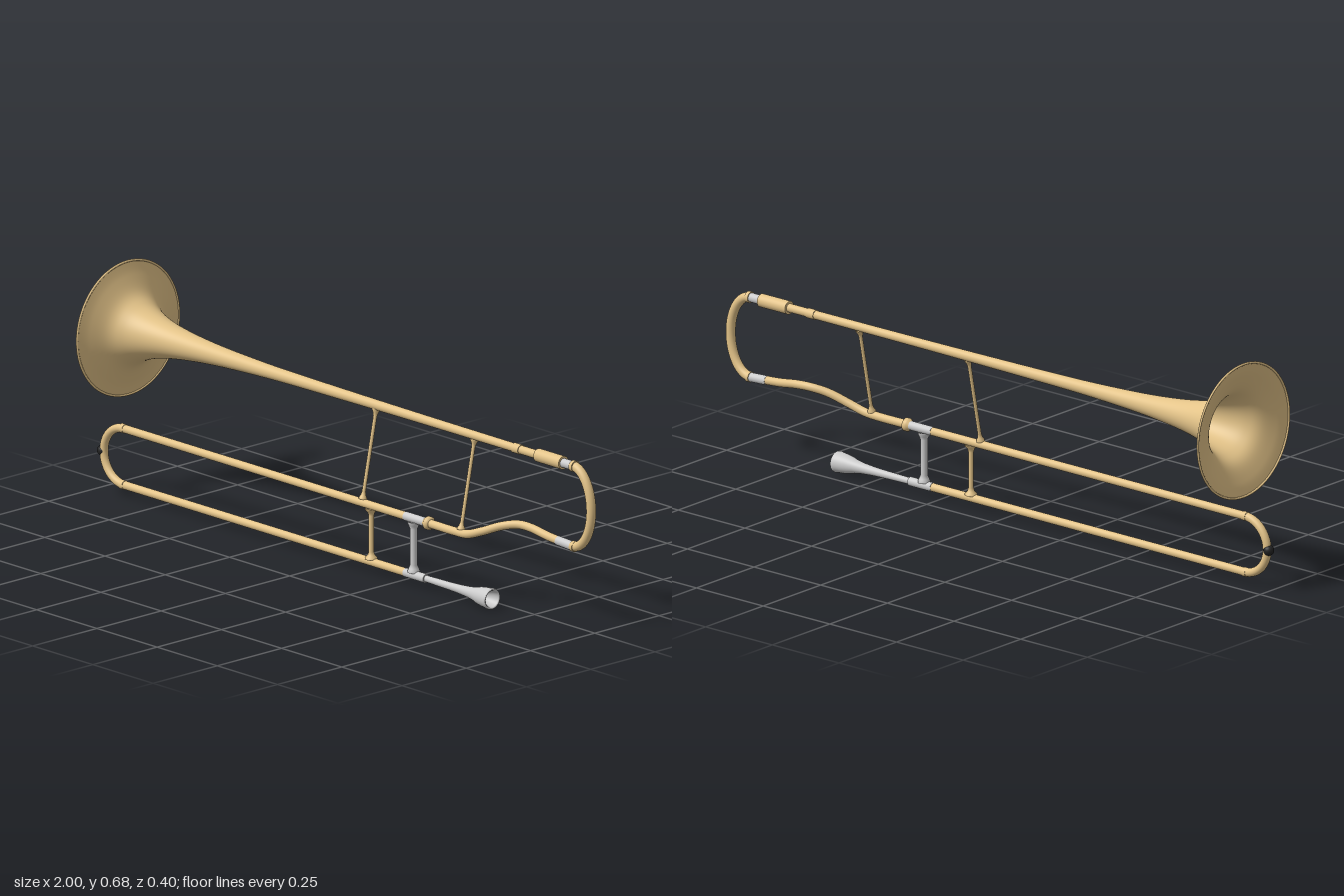
import * as THREE from 'three';

const V = (x, y, z) => new THREE.Vector3(x, y, z);
const brass = new THREE.MeshStandardMaterial({ color: 0xe3c388, side: THREE.DoubleSide });
const silver = new THREE.MeshStandardMaterial({ color: 0xcccccc, side: THREE.DoubleSide });
const black = new THREE.MeshStandardMaterial({ color: 0x222222 });

const BELL_Y = 0.478, SLIDE_Z = 0.056, TOP_Y = 0.2, LOW_Y = 0.033;

export function createModel() {
  const model = new THREE.Group();
  const add = (name, geometry, material) => {
    const mesh = new THREE.Mesh(geometry, material);
    mesh.name = name;
    model.add(mesh);
    return mesh;
  };

  // Turned part along x: profile is a list of [x, radius]
  const turned = (name, profile, y, z, material, segments = 32) => {
    const pts = profile.map(([x, r]) => new THREE.Vector2(r, x));
    const geo = new THREE.LatheGeometry(pts, segments).rotateZ(-Math.PI / 2);
    add(name, geo, material).position.set(0, y, z);
  };

  // Closed cylinder along x
  const sleeve = (name, x0, x1, r, y, z, material) => {
    const geo = new THREE.CylinderGeometry(r, r, x1 - x0, 24).rotateZ(Math.PI / 2);
    add(name, geo, material).position.set((x0 + x1) / 2, y, z);
  };

  const pipe = (name, points, r, segments) =>
    add(name, new THREE.TubeGeometry(new THREE.CatmullRomCurve3(points), segments, r, 20), brass);

  // Rod with a flared foot at each end
  const brace = (name, from, to, r, foot, material) => {
    const len = from.distanceTo(to);
    const half = [[foot, 0], [foot, 0.004], [r * 1.4, 0.012], [r, 0.022]];
    const pts = [...half, ...half.map(([a, b]) => [a, len - b]).reverse()];
    const geo = new THREE.LatheGeometry(pts.map(p => new THREE.Vector2(...p)), 20);
    const mesh = add(name, geo, material);
    mesh.position.copy(from);
    mesh.quaternion.setFromUnitVectors(V(0, 1, 0), to.clone().sub(from).normalize());
  };

  // Bell: smooth flare, rolled rim and the tube behind it
  const flare = new THREE.SplineCurve([
    [-0.938, 0.199], [-0.927, 0.16], [-0.905, 0.113], [-0.875, 0.087], [-0.83, 0.068],
    [-0.77, 0.053], [-0.7, 0.042], [-0.6, 0.032], [-0.48, 0.025], [-0.3, 0.019],
    [0, 0.0155], [0.3, 0.0135], [0.68, 0.0125],
  ].map(p => new THREE.Vector2(...p))).getPoints(90).map(p => [p.x, p.y]);
  turned('bell', flare, BELL_Y, 0, brass, 72);
  const rim = new THREE.TorusGeometry(0.198, 0.0035, 10, 72).rotateY(Math.PI / 2);
  add('bellRim', rim, brass).position.set(-0.938, BELL_Y, 0);
  sleeve('bellTubeCollar', 0.665, 0.695, 0.0145, BELL_Y, 0, brass);
  sleeve('bellTubeEnd', 0.69, 0.78, 0.0125, BELL_Y, 0, brass);
  sleeve('tuningSleeve', 0.765, 0.87, 0.0195, BELL_Y, 0, brass);
  sleeve('upperTuningTube', 0.865, 0.91, 0.0135, BELL_Y, 0, silver);
  sleeve('upperTuningCollar', 0.908, 0.92, 0.0165, BELL_Y, 0, brass);

  // Tuning bow
  const bow = [];
  for (let i = 0; i <= 16; i++) {
    const a = Math.PI / 2 - Math.PI * i / 16;
    bow.push(V(0.91 + 0.075 * Math.cos(a), 0.359 + 0.119 * Math.sin(a), 0));
  }
  pipe('tuningBow', bow, 0.014, 64);
  sleeve('lowerTuningCollar', 0.908, 0.92, 0.0155, 0.24, 0, brass);
  const tuningTube = new THREE.CylinderGeometry(0.0135, 0.0135, 0.065, 24).rotateZ(Math.PI / 2 - 0.05);
  add('lowerTuningTube', tuningTube, silver).position.set(0.88, 0.241, 0);

  // Bent neck that steps from the bell plane to the slide plane
  pipe('neckPipe', [
    V(0.88, 0.241, 0), V(0.8, 0.247, 0), V(0.74, 0.255, 0), V(0.69, 0.256, 0.005),
    V(0.64, 0.245, 0.024), V(0.58, 0.22, 0.046), V(0.53, 0.203, SLIDE_Z),
    V(0.48, TOP_Y, SLIDE_Z), V(0.37, TOP_Y, SLIDE_Z),
  ], 0.0125, 80);

  // Hand slide: two long tubes and the end bow
  for (const [name, y] of [['upper', TOP_Y], ['lower', LOW_Y]]) {
    sleeve(name + 'SlideTube', -0.9, 0.29, 0.0122, y, SLIDE_Z, brass);
    sleeve(name + 'SlideFerrule', -0.905, -0.89, 0.0135, y, SLIDE_Z, brass);
    sleeve(name + 'SlideGrip', 0.275, 0.36, 0.0132, y, SLIDE_Z, silver);
  }
  const slideBow = [];
  const mid = (TOP_Y + LOW_Y) / 2, rad = (TOP_Y - LOW_Y) / 2;
  for (let i = 0; i <= 16; i++) {
    const a = Math.PI / 2 + Math.PI * i / 16;
    slideBow.push(V(-0.895 + rad * Math.cos(a), mid + rad * Math.sin(a), SLIDE_Z));
  }
  pipe('slideBow', slideBow, 0.0125, 64);
  add('bumper', new THREE.SphereGeometry(0.016, 20, 14), black).position.set(-0.984, mid, SLIDE_Z);
  turned('slideNut', [[0.355, 0.012], [0.362, 0.0165], [0.366, 0.0195], [0.376, 0.0195], [0.38, 0.0125]],
    TOP_Y, SLIDE_Z, brass);

  // Braces
  for (const x of [0.095, 0.503])
    brace('bellBrace', V(x, TOP_Y + 0.01, SLIDE_Z - 0.001), V(x, BELL_Y - 0.01, 0.002), 0.0055, 0.012, brass);
  for (const [name, x, r, mat] of [['slideBrace', 0.132, 0.0075, brass], ['gripBrace', 0.308, 0.0105, silver]])
    brace(name, V(x, LOW_Y + 0.008, SLIDE_Z), V(x, TOP_Y - 0.008, SLIDE_Z), r, 0.018, mat);

  // Mouthpiece: shank, flared outside, rounded rim and hollow cup
  turned('mouthpiece', [
    [0.355, 0], [0.355, 0.0095], [0.46, 0.0115], [0.5, 0.013], [0.54, 0.016], [0.565, 0.02],
    [0.585, 0.0255], [0.605, 0.0285], [0.622, 0.03], [0.628, 0.0315], [0.634, 0.0305],
    [0.636, 0.028], [0.633, 0.0245], [0.615, 0.021], [0.595, 0.015], [0.578, 0.006],
    [0.57, 0.004], [0.5, 0.004], [0.5, 0],
  ], LOW_Y, SLIDE_Z, silver, 40);

  return model;
}
